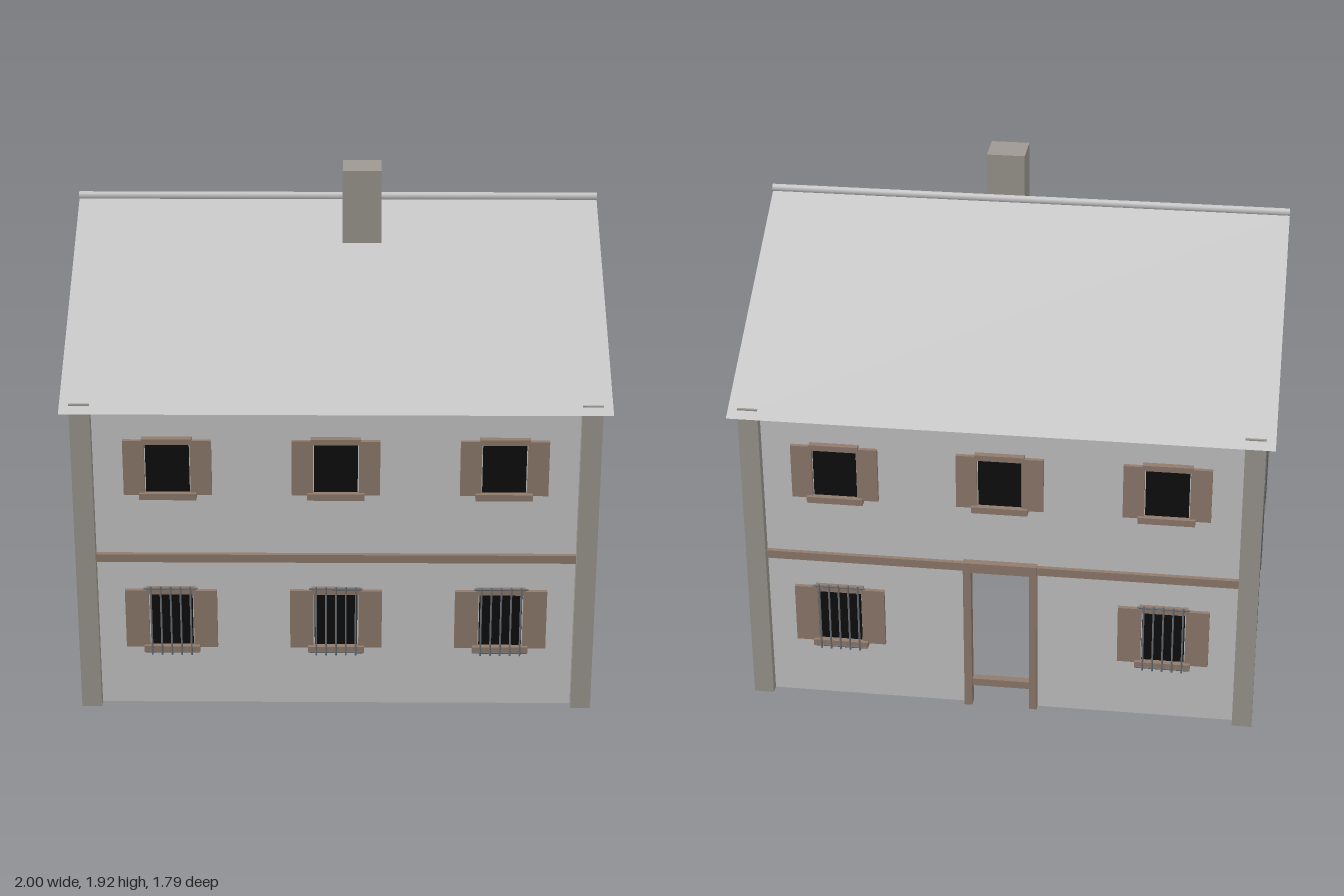
import * as THREE from 'three';

const material = (name, color, side = THREE.FrontSide) => {
  const m = new THREE.MeshStandardMaterial({ color, side });
  m.name = name;
  return m;
};

export function createModel() {
  const plaster = material('plaster', 0xc8c8c8, THREE.DoubleSide);
  const stone = material('stone', 0x9e9a91);
  const wood = material('wood', 0x917c6e);
  const glass = material('dark glass', 0x0e0e0e);
  const iron = material('iron', 0x6b7075);

  const house = new THREE.Group();
  house.name = 'house';

  const HX = 0.928, HZ = 0.826;        // wall planes
  const EAVE_Z = 0.895, EAVE_Y = 1.215, RIDGE_Y = 1.752;

  const add = (parent, name, geometry, mat, x = 0, y = 0, z = 0) => {
    const mesh = new THREE.Mesh(geometry, mat);
    mesh.name = name;
    mesh.position.set(x, y, z);
    parent.add(mesh);
    return mesh;
  };
  // box given by its lower and upper limits
  const box = (parent, name, mat, x0, x1, y0, y1, z0, z1) =>
    add(parent, name, new THREE.BoxGeometry(x1 - x0, y1 - y0, z1 - z0), mat,
      (x0 + x1) / 2, (y0 + y1) / 2, (z0 + z1) / 2);

  // one window on a wall whose outside is local +z
  function makeWindow(barred) {
    const g = new THREE.Group();
    g.name = barred ? 'barredWindow' : 'upperWindow';
    const y0 = barred ? 0.245 : 0.875, y1 = barred ? 0.482 : 1.09;
    const shutterEnd = barred ? 0.172 : 0.162;
    box(g, 'pane', glass, -0.08, 0.08, y0 + 0.01, y1 - 0.01, 0.001, 0.009);
    box(g, 'sill', wood, -0.105, 0.105, y0 - 0.015, y0 + 0.01, -0.012, 0.032);
    box(g, 'lintel', wood, -0.092, 0.092, y1 - 0.012, y1 + 0.01, 0, 0.025);
    for (const s of [-1, 1]) {
      const a = s * 0.084, b = s * shutterEnd;
      box(g, 'shutter', wood, Math.min(a, b), Math.max(a, b), y0, y1, 0.002, 0.018);
    }
    if (barred) {
      for (let i = -2; i <= 2; i++) {
        add(g, 'bar', new THREE.CylinderGeometry(0.004, 0.004, 0.285, 6), iron, i * 0.037, 0.363, 0.032);
      }
      for (const y of [0.232, 0.497]) {
        const rail = add(g, 'rail', new THREE.CylinderGeometry(0.004, 0.004, 0.2, 6), iron, 0, y, 0.03);
        rail.rotation.z = Math.PI / 2;
      }
    }
    return g;
  }

  // wall outline with optional gable peak or doorway
  function wallShape(half, gable, door) {
    const s = new THREE.Shape();
    s.moveTo(-half, 0);
    if (door) {
      s.lineTo(-0.11, 0); s.lineTo(-0.11, 0.6);
      s.lineTo(0.11, 0.6); s.lineTo(0.11, 0);
    }
    s.lineTo(half, 0);
    s.lineTo(half, 1.245);
    if (gable) s.lineTo(0, RIDGE_Y - 0.004);
    s.lineTo(-half, 1.245);
    s.closePath();
    return new THREE.ShapeGeometry(s);
  }

  const sides = [
    { name: 'frontWall', turn: 0, half: HX, dist: HZ, step: 0.617 },
    { name: 'backWall', turn: Math.PI, half: HX, dist: HZ, step: 0.617, door: true },
    { name: 'leftWall', turn: Math.PI / 2, half: HZ, dist: HX, step: 0.55, gable: true },
    { name: 'rightWall', turn: -Math.PI / 2, half: HZ, dist: HX, step: 0.55, gable: true },
  ];
  for (const { name, turn, half, dist, step, gable, door } of sides) {
    const side = new THREE.Group();
    side.name = name;
    side.rotation.y = turn;
    side.position.set(Math.sin(turn) * dist, 0, Math.cos(turn) * dist);
    add(side, 'wallPanel', wallShape(half, gable, door), plaster);
    for (const i of [-1, 0, 1]) {
      for (const barred of [false, true]) {
        if (barred && door && i === 0) continue;
        const w = makeWindow(barred);
        w.position.x = i * step;
        side.add(w);
      }
    }
    if (door) {
      box(side, 'doorJamb', wood, -0.14, -0.11, 0, 0.6, -0.015, 0.025);
      box(side, 'doorJamb', wood, 0.11, 0.14, 0, 0.6, -0.015, 0.025);
      box(side, 'doorLintel', wood, -0.14, 0.14, 0.6, 0.64, -0.015, 0.03);
      box(side, 'doorRail', wood, -0.11, 0.11, 0.085, 0.115, -0.015, 0.015);
    }
    house.add(side);
  }

  // upper floor slab, its edge showing as a band outside
  box(house, 'floorSlab', wood, -HX - 0.018, HX + 0.018, 0.6, 0.632, -HZ - 0.018, HZ + 0.018);

  // corner pillars
  for (const sx of [-1, 1]) {
    for (const sz of [-1, 1]) {
      add(house, 'cornerPillar', new THREE.BoxGeometry(0.075, 1.24, 0.073), stone, sx * HX, 0.62, sz * HZ);
    }
  }

  // thin roof slopes
  const rise = RIDGE_Y - EAVE_Y;
  for (const s of [-1, 1]) {
    const slope = new THREE.PlaneGeometry(2, Math.hypot(EAVE_Z, rise));
    slope.rotateX(-Math.PI / 2 + Math.atan2(rise, EAVE_Z));
    if (s < 0) slope.rotateY(Math.PI);
    add(house, 'roofSlope', slope, plaster, 0, (RIDGE_Y + EAVE_Y) / 2, s * EAVE_Z / 2);
  }

  // ridge pole
  const ridge = new THREE.CylinderGeometry(0.015, 0.015, 2, 8);
  ridge.rotateZ(Math.PI / 2);
  add(house, 'ridgePole', ridge, plaster, 0, 1.763, 0);

  box(house, 'chimney', stone, 0.02, 0.167, 1.58, 1.92, 0.05, 0.195);

  return house;
}
